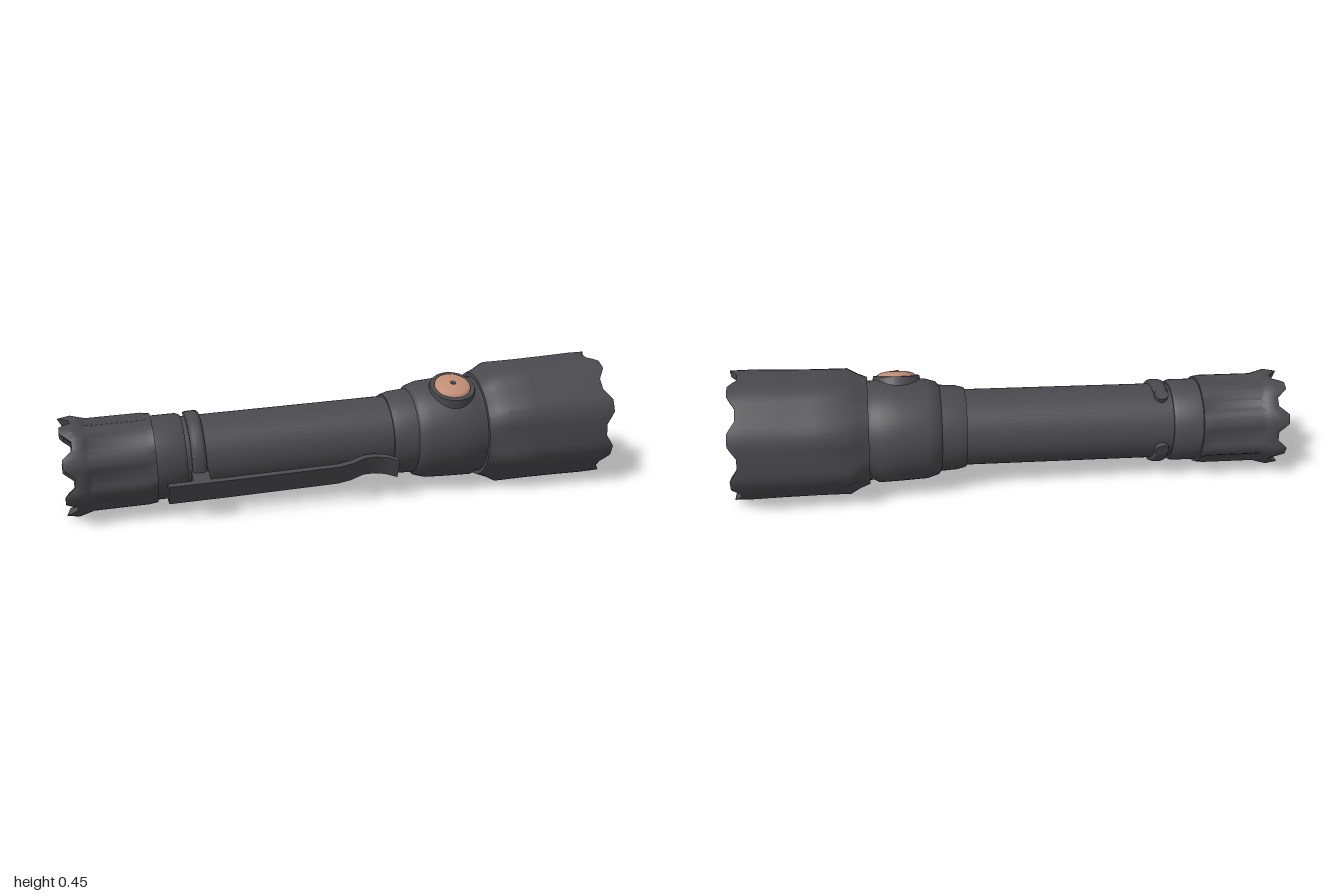
import * as THREE from 'three';
import { toCreasedNormals } from 'three/addons/utils/BufferGeometryUtils.js';

const gunmetal = new THREE.MeshStandardMaterial({ color: 0x4a494e });
gunmetal.name = 'gunmetal';
const copper = new THREE.MeshStandardMaterial({ color: 0xc08c74 });
copper.name = 'copper';

const LOBES = 8;

// Skin around the x axis. Each section is [x, radius, radial wave, lengthwise wave].
function turned(sections, segments = 64) {
  const pos = [];
  const index = [];
  for (const [x, r, waveR = 0, waveX = 0] of sections) {
    for (let j = 0; j < segments; j++) {
      const a = (j / segments) * Math.PI * 2;
      const w = THREE.MathUtils.clamp(Math.cos(LOBES * a) * 2, -1, 1);
      const rr = r + waveR * w;
      pos.push(x + waveX * w, rr * Math.cos(a), rr * Math.sin(a));
    }
  }
  for (let i = 0; i < sections.length - 1; i++) {
    for (let j = 0; j < segments; j++) {
      const k = (j + 1) % segments;
      const a = i * segments + j, b = i * segments + k;
      const c = a + segments, d = b + segments;
      if (sections[i][1] > 0) index.push(a, b, c);
      if (sections[i + 1][1] > 0) index.push(b, d, c);
    }
  }
  const g = new THREE.BufferGeometry();
  g.setAttribute('position', new THREE.Float32BufferAttribute(pos, 3));
  g.setIndex(index);
  return toCreasedNormals(g, 0.6);
}

export function createModel() {
  const model = new THREE.Group();
  model.name = 'flashlight';
  const body = new THREE.Group();
  body.name = 'flashlightBody';
  model.add(body);

  const add = (name, geometry, material = gunmetal, parent = body) => {
    const mesh = new THREE.Mesh(geometry, material);
    mesh.name = name;
    parent.add(mesh);
    return mesh;
  };

  // Hollow tail cap with a notched rim and grip flats
  add('tailCap', turned([
    [-0.925, 0], [-0.925, 0.125], [-0.965, 0.145, 0, -0.015], [-0.975, 0.166, 0.003, -0.018],
    [-0.945, 0.172, 0.004, -0.006], [-0.915, 0.163, 0.003], [-0.9, 0.156, 0.006],
    [-0.71, 0.156, 0.006], [-0.68, 0.158], [-0.68, 0.1],
  ]));

  // Ring between tail cap and tube
  add('tailRing', turned([
    [-0.685, 0.1], [-0.685, 0.149], [-0.59, 0.149], [-0.575, 0.142], [-0.575, 0.1],
  ]));

  // Battery tube
  add('batteryTube', turned([[-0.6, 0.136], [0.25, 0.137]]));

  // Stepped neck holding the switch
  add('neck', turned([
    [0.17, 0.12], [0.17, 0.144], [0.2, 0.152], [0.26, 0.156], [0.27, 0.168],
    [0.31, 0.18], [0.4, 0.185], [0.48, 0.188], [0.5, 0.178], [0.53, 0.178], [0.56, 0.178],
  ]));

  // Head with shoulder and notched bezel
  add('head', turned([
    [0.515, 0.16], [0.515, 0.192], [0.55, 0.203, 0.003], [0.592, 0.221, 0.004, -0.008],
    [0.7, 0.221, 0.004], [0.82, 0.224, 0.003], [0.93, 0.227, 0.003],
    [0.978, 0.226, 0.003, 0.014], [0.975, 0.207, 0, 0.012], [0.95, 0.186], [0.94, 0.183],
  ]));

  // Lens plate with a fine rim
  add('lens', turned([[0.942, 0.19], [0.947, 0.183], [0.944, 0.178], [0.944, 0]]));

  // Raised switch seat
  const seat = add('switchSeat', new THREE.CylinderGeometry(0.082, 0.1, 0.07, 32));
  seat.position.set(0.41, 0.158, 0);

  // Domed switch button with a small centre mark
  const button = add('switchButton', new THREE.LatheGeometry([
    [0.066, 0], [0.066, 0.007], [0.056, 0.013], [0.03, 0.018], [0, 0.019],
  ].map(([x, y]) => new THREE.Vector2(x, y)), 32), copper);
  button.position.set(0.41, 0.191, 0);
  const mark = add('buttonMark', new THREE.CylinderGeometry(0.011, 0.011, 0.004, 6));
  mark.position.set(0.41, 0.21, 0);

  // Pocket clip, bent strip seen in profile
  const clip = new THREE.Group();
  clip.name = 'pocketClip';
  body.add(clip);
  const outer = [[-0.65, 0.2], [-0.45, 0.2], [-0.05, 0.196], [0.0, 0.186], [0.05, 0.166], [0.09, 0.165], [0.13, 0.175], [0.17, 0.198]];
  const inner = outer.map(([x, y]) => [x - 0.003, y - 0.018]).reverse();
  const strip = new THREE.Shape([...outer, ...inner].map(([x, y]) => new THREE.Vector2(x, y)));
  const stripGeo = new THREE.ExtrudeGeometry(strip, { depth: 0.08, bevelEnabled: false });
  stripGeo.translate(0, 0, -0.04);
  stripGeo.rotateX(Math.PI / 2);
  add('clipStrip', toCreasedNormals(stripGeo, 0.5), gunmetal, clip);
  const post = add('clipPost', new THREE.BoxGeometry(0.06, 0.08, 0.07), gunmetal, clip);
  post.position.set(-0.535, 0, 0.157);

  // Open spring band that holds the clip on the tube
  const arc = 2.4;
  const bandGeo = new THREE.LatheGeometry([
    [0.13, -0.025], [0.147, -0.025], [0.152, -0.012], [0.152, 0.012], [0.147, 0.025], [0.13, 0.025],
  ].map(([x, y]) => new THREE.Vector2(x, y)), 40, -arc, arc * 2);
  bandGeo.rotateZ(-Math.PI / 2);
  const band = add('clipBand', bandGeo, gunmetal, clip);
  band.position.x = -0.535;
  // Rounded band ends
  for (const side of [-1, 1]) {
    const end = add('clipBandEnd', new THREE.CylinderGeometry(0.025, 0.025, 0.022, 16), gunmetal, clip);
    end.rotation.x = Math.PI / 2 - side * arc;
    end.position.set(-0.535, -side * Math.sin(arc) * 0.14, Math.cos(arc) * 0.14);
    end.rotation.x = Math.atan2(end.position.z, end.position.y);
  }

  // Roll about the long axis, then lay the light diagonally
  body.rotation.x = 0.42;
  const lean = new THREE.Group();
  lean.name = 'lean';
  lean.rotation.z = 0.026;
  lean.add(body);
  model.add(lean);
  model.rotation.y = -0.382;
  model.position.set(-0.01, 0.217, -0.03);

  const root = new THREE.Group();
  root.name = 'flashlightModel';
  root.add(model);
  return root;
}
